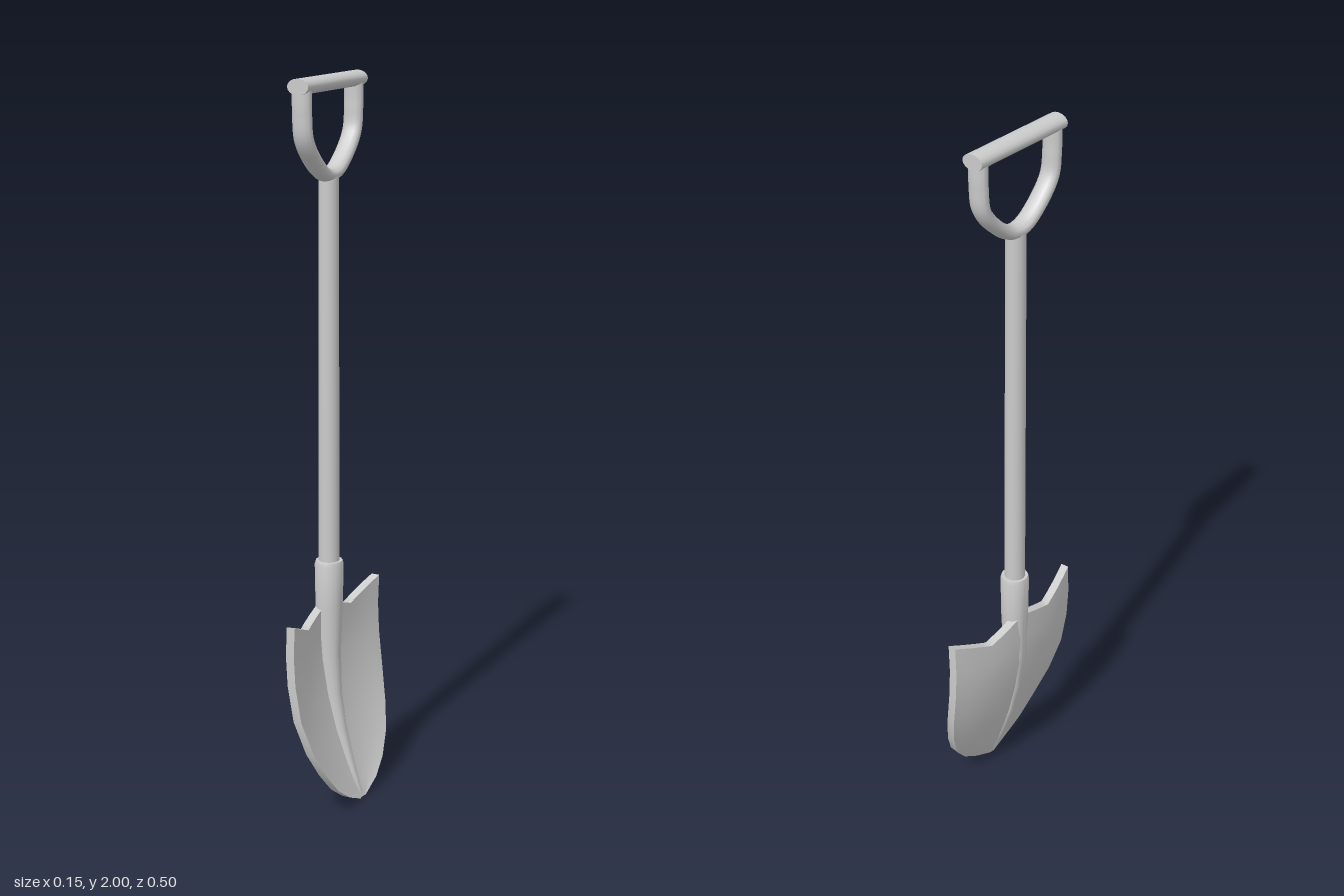
import * as THREE from 'three';
import { toCreasedNormals } from 'three/addons/utils/BufferGeometryUtils.js';

// Skin a stack of closed sections (listed top to bottom, equal even point counts)
function loft(sections, crease) {
  const n = sections[0].length, idx = [];
  for (let r = 0; r < sections.length - 1; r++) {
    for (let j = 0; j < n; j++) {
      const k = (j + 1) % n, a = r * n + j, b = r * n + k;
      idx.push(a, b, a + n, b, b + n, a + n);
    }
  }
  // Caps join each point to the one opposite it
  const last = (sections.length - 1) * n;
  for (let j = 0; j < n / 2 - 1; j++) {
    const p = n - 1 - j, q = p - 1, k = j + 1;
    idx.push(j, p, k, k, p, q);
    idx.push(last + j, last + k, last + p, last + k, last + q, last + p);
  }
  const geo = new THREE.BufferGeometry();
  geo.setAttribute('position', new THREE.Float32BufferAttribute(sections.flat(2), 3));
  geo.setIndex(idx);
  return toCreasedNormals(geo, crease);
}

// Elliptical section around the length of the tool
function ring(y, cx, rx, rz, sides = 16) {
  return Array.from({ length: sides }, (_, i) => {
    const t = ((i + 0.5) / sides) * Math.PI * 2;
    return [cx + rx * Math.sin(t), y, -rz * Math.cos(t)];
  });
}

// Cupped blade section: front skin from -z to +z, then back skin returning
function bladeSection([y, half, cx, lift]) {
  const steps = 16, thick = 0.012, front = [], back = [];
  for (let i = 0; i <= steps; i++) {
    const u = (i / steps) * 2 - 1, a = Math.abs(u);
    const cup = 0.035 * u * u * Math.min(1, half / 0.2);
    // Shoulders dip beside the socket and rise to pointed corners
    const shoulder = a < 0.5 ? -0.04 * a / 0.5 : -0.04 + 0.05 * (a - 0.5) / 0.5;
    const py = y + lift * shoulder;
    front.push([cx + cup + thick, py, u * half]);
    back.unshift([cx + cup - thick, py, u * half]);
  }
  return [...front, ...back];
}

export function createModel() {
  const group = new THREE.Group();
  const material = new THREE.MeshStandardMaterial({ color: 0xcccccc });
  const shaftX = -0.035;
  const add = (name, geometry) => {
    const mesh = new THREE.Mesh(geometry, material);
    mesh.name = name;
    group.add(mesh);
    return mesh;
  };

  // Blade rows: height, half width, forward offset, shoulder amount
  const rows = [
    [0.56, 0.25, -0.053, 1], [0.48, 0.25, -0.056, 0.6], [0.4, 0.249, -0.052, 0.2],
    [0.3, 0.243, -0.038, 0], [0.2, 0.217, -0.014, 0], [0.13, 0.182, 0.009, 0],
    [0.07, 0.135, 0.03, 0], [0.03, 0.08, 0.047, 0], [0, 0.015, 0.058, 0],
  ];
  add('blade', loft(rows.map(bladeSection), 0.7));

  // Socket that runs down into a tapering centre rib
  add('socketAndRib', loft([
    ring(0.685, shaftX, 0.037, 0.037), ring(0.675, shaftX, 0.04, 0.04),
    ring(0.55, shaftX, 0.038, 0.038), ring(0.42, -0.036, 0.034, 0.032),
    ring(0.3, -0.027, 0.029, 0.026), ring(0.2, -0.008, 0.025, 0.023),
    ring(0.1, 0.022, 0.02, 0.019), ring(0.015, 0.053, 0.014, 0.013),
  ], 0.7));

  // Shaft
  const shaft = add('shaft', new THREE.CylinderGeometry(0.027, 0.029, 1.16, 16));
  shaft.position.set(shaftX, 1.16, 0);

  // Grip bar across the top
  const bar = add('gripBar', new THREE.CylinderGeometry(0.021, 0.021, 0.33, 16));
  bar.rotation.x = Math.PI / 2;
  bar.scale.x = 1.45;
  bar.position.set(shaftX, 1.979, 0);

  // Yoke bending down from the bar ends to the shaft
  const side = [[1.975, 0.143], [1.91, 0.142], [1.845, 0.133], [1.785, 0.085], [1.745, 0.025]];
  const path = [...side, ...side.map(([y, z]) => [y, -z]).reverse()]
    .map(([y, z]) => new THREE.Vector3(0, y, z));
  const yoke = add('gripYoke',
    new THREE.TubeGeometry(new THREE.CatmullRomCurve3(path), 48, 0.019, 12));
  yoke.scale.x = 1.45;
  yoke.position.x = shaftX;

  return group;
}
